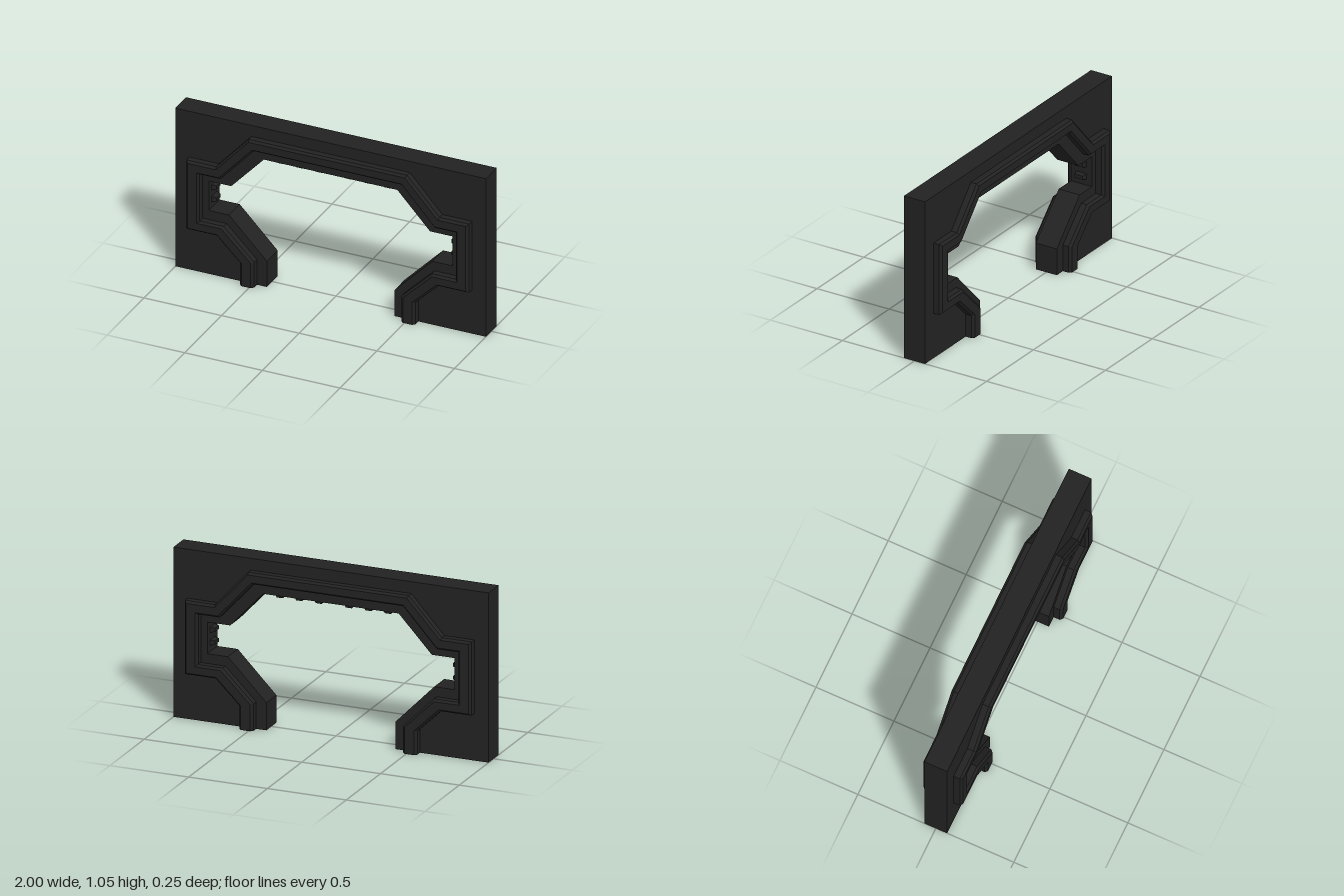
import * as THREE from 'three';

const material = new THREE.MeshStandardMaterial({ color: 0x222222, flatShading: true });
const SLAB = 0.146; // wall thickness

// Right half of each outline, from the floor up to the lintel
const opening = [[0.41, 0], [0.41, 0.17], [0.655, 0.42], [0.785, 0.42], [0.785, 0.615], [0.64, 0.615], [0.43, 0.84]];
const trimOuter = [[0.565, 0], [0.565, 0.145], [0.715, 0.29], [0.91, 0.29], [0.91, 0.745], [0.72, 0.745], [0.51, 0.975]];
const trimInner = [[0.475, 0], [0.475, 0.168], [0.67, 0.36], [0.825, 0.36], [0.825, 0.67], [0.69, 0.67], [0.475, 0.905]];

// Complete a half outline with its mirror image
const mirrored = (half) => [...half, ...half.map(([x, y]) => [-x, y]).reverse()];

function add(group, name, geometry) {
  const mesh = new THREE.Mesh(geometry, material);
  mesh.name = name;
  group.add(mesh);
  return mesh;
}

// Loft a chamfered band between two outlines, standing proud of both wall faces
function mouldingGeometry(outer, inner) {
  const section = [[0, -0.112], [0, 0.112], [0.17, 0.127], [0.83, 0.127],
    [1, 0.112], [1, -0.112], [0.83, -0.127], [0.17, -0.127]];
  const rings = outer.map(([ox, oy], i) => section.map(([t, z]) =>
    [ox + (inner[i][0] - ox) * t, oy + (inner[i][1] - oy) * t, z]));
  const n = section.length;
  const pos = [];
  const tri = (a, b, c) => pos.push(...a, ...b, ...c);
  for (let i = 0; i < rings.length - 1; i++) {
    for (let j = 0; j < n; j++) {
      const k = (j + 1) % n;
      tri(rings[i][j], rings[i + 1][j], rings[i + 1][k]);
      tri(rings[i][j], rings[i + 1][k], rings[i][k]);
    }
  }
  // End caps at the floor
  const first = rings[0], last = rings[rings.length - 1];
  for (let j = 1; j < n - 1; j++) {
    tri(first[0], first[j], first[j + 1]);
    tri(last[0], last[j + 1], last[j]);
  }
  const geometry = new THREE.BufferGeometry();
  geometry.setAttribute('position', new THREE.Float32BufferAttribute(pos, 3));
  geometry.computeVertexNormals();
  return geometry;
}

// Small block tapering towards its lower end
function toothGeometry(width, height, depth, taper) {
  const geometry = new THREE.BoxGeometry(width, height, depth).toNonIndexed();
  const p = geometry.attributes.position;
  for (let i = 0; i < p.count; i++) {
    if (p.getY(i) < 0) p.setXYZ(i, p.getX(i) * taper, p.getY(i), p.getZ(i) * 0.8);
  }
  geometry.translate(0, -height / 2, 0);
  geometry.computeVertexNormals();
  return geometry;
}

export function createModel() {
  const model = new THREE.Group();
  model.name = 'gateway';

  // Wall slab with the stepped opening running down to the floor
  const outline = [[-1, 0], [-1, 1.048], [1, 1.048], [1, 0], ...mirrored(opening)];
  const shape = new THREE.Shape(outline.map(([x, y]) => new THREE.Vector2(x, y)));
  const wall = new THREE.ExtrudeGeometry(shape, { depth: SLAB, bevelEnabled: false });
  wall.translate(0, 0, -SLAB / 2);
  add(model, 'wall', wall);

  // Raised moulding around the opening on both faces
  add(model, 'moulding', mouldingGeometry(mirrored(trimOuter), mirrored(trimInner)));

  // Teeth under the lintel and in the side recesses
  const lintelTooth = toothGeometry(0.064, 0.027, 0.08, 0.58);
  const sideTooth = toothGeometry(0.036, 0.03, 0.07, 0.6);
  for (const side of [-1, 1]) {
    for (const x of [0.095, 0.22, 0.343]) {
      add(model, 'lintelTooth', lintelTooth).position.set(side * x, 0.841, 0);
    }
    for (const y of [0.476, 0.555]) {
      const tooth = add(model, 'sideTooth', sideTooth);
      tooth.position.set(side * 0.786, y, 0);
      tooth.rotation.z = -side * Math.PI / 2;
    }
  }
  return model;
}
